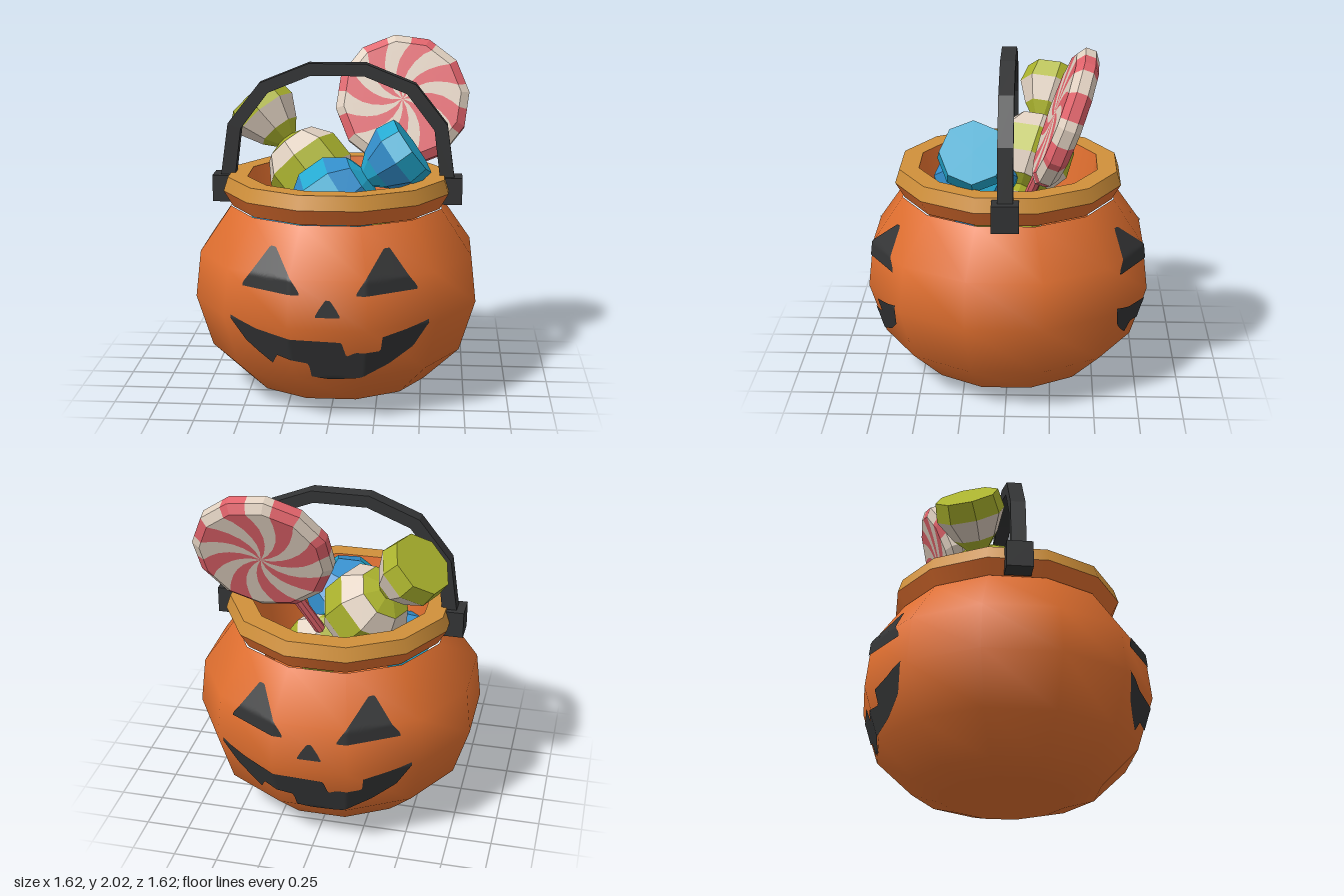
import * as THREE from 'three';

const deg = Math.PI / 180;
const C15 = Math.cos(15 * deg);
const mat = (name, color) => Object.assign(new THREE.MeshStandardMaterial({ color }), { name });

// faceted copy of a geometry
function flat(geo) {
  const g = geo.index ? geo.toNonIndexed() : geo;
  g.computeVertexNormals();
  return g;
}
function add(parent, name, geo, material) {
  const m = new THREE.Mesh(geo, material);
  m.name = name;
  parent.add(m);
  return m;
}
const lathe = (pts, sides, phase = 0, k = 1) =>
  new THREE.LatheGeometry(pts.map(([r, y]) => new THREE.Vector2(r * k, y)), sides, phase);

// height of a polyline at x
function along(line, x) {
  for (let i = 1; i < line.length; i++) {
    const [x0, y0] = line[i - 1], [x1, y1] = line[i];
    if (x <= x1) return y0 + (y1 - y0) * Math.max(0, (x - x0) / (x1 - x0));
  }
  return line[line.length - 1][1];
}

// bucket side: distance from axis to a flat, height
const BODY = [[0, 0], [0.345, 0], [0.52, 0.06], [0.72, 0.26], [0.81, 0.56], [0.78, 0.83], [0.605, 1.09]];
function bodyZ(x, y) {
  const a = along(BODY.slice(1).map(([r, h]) => [h, r]), y);
  return Math.min(a, (a - Math.abs(x) * 0.5) / Math.cos(30 * deg));
}

// thin painted patch between two outlines, laid onto the bucket
function patch(upper, lower) {
  const x0 = upper[0][0], x1 = upper[upper.length - 1][0];
  const g = new THREE.PlaneGeometry(1, 1, Math.ceil((x1 - x0) * 100), 16);
  const p = g.attributes.position;
  for (let i = 0; i < p.count; i++) {
    const x = x0 + (p.getX(i) + 0.5) * (x1 - x0);
    const y = THREE.MathUtils.lerp(along(lower, x), along(upper, x), p.getY(i) + 0.5);
    p.setXYZ(i, x, y, bodyZ(x, y) + 0.006);
  }
  g.computeVertexNormals();
  return g;
}

// wrapped sweet: banded ball with a flared wrapper at both ends
function sweet(name, main, stripe, center, axis) {
  const g = new THREE.Group();
  g.name = name;
  const R = 0.255, lats = [180, 140, 109, 71, 40, 0];
  for (let i = 0; i < 5; i++) {
    const pts = [lats[i], lats[i + 1]].map(a => [Math.abs(R * Math.sin(a * deg)), R * Math.cos(a * deg)]);
    add(g, 'sweetBand', flat(lathe(pts, 8)), i % 2 ? stripe : main);
  }
  const flare = [[0.06, 0.22], [0.13, 0.3], [0.2, 0.43], [0.185, 0.54], [0, 0.54]];
  for (const end of [0, Math.PI]) {
    const w = new THREE.Group();
    w.name = 'wrapperEnd';
    w.rotation.x = end;
    for (let i = 0; i < 4; i++)
      add(w, 'wrapperBand', flat(lathe([flare[i], flare[i + 1]], 8)), i === 1 ? stripe : main);
    g.add(w);
  }
  g.position.set(...center);
  g.quaternion.setFromUnitVectors(new THREE.Vector3(0, 1, 0), new THREE.Vector3(...axis).normalize());
  return g;
}

// one colour of the twelve-sided swirl disc
function swirl(odd) {
  const face = [0, 0.06, 0.12, 0.18, 0.24, 0.3, 0.35].map(r => [r, 0.065, 40 * (1 - r / 0.35)]);
  const rings = [...face, [0.4, 0.03, 0], [0.4, -0.03, 0],
    ...face.slice().reverse().map(([r, z, t]) => [r, -z, t])];
  const point = (i, j) => {
    const [r, z, twist] = rings[i];
    const a = 15 + j * 7.5 + twist;
    const k = ((a - 7.5) % 30 + 30) % 30 - 15;
    const rad = r * C15 / Math.cos(k * deg);
    return [rad * Math.cos(a * deg), rad * Math.sin(a * deg), z];
  };
  const v = [];
  for (let j = 0; j < 48; j++) {
    if (Math.floor(j / 3) % 2 !== odd) continue;
    for (let i = 0; i < rings.length - 1; i++) {
      const a = point(i, j), b = point(i + 1, j), c = point(i + 1, j + 1), d = point(i, j + 1);
      if (rings[i + 1][0] > 0) v.push(...a, ...b, ...c);
      if (rings[i][0] > 0) v.push(...a, ...c, ...d);
    }
  }
  const g = new THREE.BufferGeometry();
  g.setAttribute('position', new THREE.Float32BufferAttribute(v, 3));
  return flat(g);
}

export function createModel() {
  const root = new THREE.Group();
  root.name = 'treatBucket';
  const orange = mat('orange', 0xe06f2f), gold = mat('gold', 0xd0903a), charcoal = mat('charcoal', 0x333435);
  const lime = mat('lime', 0xacb42e), cream = mat('cream', 0xe0d0c0);
  const cyan = mat('cyan', 0x23a9d0), blue = mat('blue', 0x338ecb), red = mat('red', 0xe0626a);

  // bucket, rim and hollow inside
  const ring = (name, pts, m) => add(root, name, lathe(pts, 12, 15 * deg, 1 / C15), m);
  ring('bucketBody', BODY, orange);
  ring('rimUnderside', [[0.595, 1.09], [0.645, 1.18]], orange);
  ring('rimSide', [[0.645, 1.18], [0.62, 1.26]], gold);
  ring('rimTop', [[0.62, 1.26], [0.51, 1.26]], gold);
  ring('innerWall', [[0.51, 1.26], [0.42, 0.75]], orange);
  ring('innerFloor', [[0.42, 0.75], [0, 0.75]], orange);

  // carved face, front and back
  const eyeTop = [[0.155, 0.76], [0.168, 0.785], [0.295, 0.975], [0.325, 0.975], [0.47, 0.785], [0.48, 0.765]];
  const eyeLow = [[0.155, 0.75], [0.48, 0.755]];
  const flip = line => line.map(([x, y]) => [-x, y]).reverse();
  const noseTop = [[-0.066, 0.64], [-0.05, 0.67], [-0.012, 0.725], [0.012, 0.725], [0.05, 0.67], [0.066, 0.64]];
  const mouthTop = [[-0.55, 0.58], [-0.4, 0.527], [-0.2, 0.5], [0.075, 0.487], [0.1, 0.4], [0.15, 0.425],
    [0.285, 0.425], [0.295, 0.51], [0.42, 0.54], [0.545, 0.58]];
  const mouthLow = [[-0.55, 0.56], [-0.465, 0.44], [-0.39, 0.38], [-0.31, 0.325], [-0.285, 0.385], [-0.105, 0.35],
    [-0.095, 0.27], [0.01, 0.25], [0.17, 0.265], [0.33, 0.335], [0.46, 0.425], [0.545, 0.56]];
  for (const turn of [0, Math.PI]) {
    const face = new THREE.Group();
    face.name = turn ? 'backFace' : 'frontFace';
    face.rotation.y = turn;
    add(face, 'leftEye', patch(eyeTop, eyeLow), charcoal);
    add(face, 'rightEye', patch(flip(eyeTop), flip(eyeLow)), charcoal);
    add(face, 'nose', patch(noseTop, [[-0.066, 0.63], [0.066, 0.63]]), charcoal);
    add(face, 'mouth', patch(mouthTop, mouthLow), charcoal);
    root.add(face);
  }

  // arched handle and its end blocks
  const outer = [[0.685, 1.2], [0.635, 1.55], [0.45, 1.785], [0.165, 1.9]];
  const inner = [[0.6, 1.2], [0.56, 1.52], [0.4, 1.73], [0.153, 1.83]];
  const outline = [...outer, ...flip(outer), ...flip(inner).reverse(), ...inner.slice().reverse()];
  const arch = new THREE.Shape(outline.map(([x, y]) => new THREE.Vector2(x, y)));
  const bar = new THREE.ExtrudeGeometry(arch, { depth: 0.086, bevelEnabled: false });
  add(root, 'handle', bar.translate(0, 0, -0.043), charcoal);
  for (const s of [-1, 1])
    add(root, 'handleBlock', new THREE.BoxGeometry(0.115, 0.155, 0.15), charcoal).position.set(s * 0.667, 1.172, 0);

  // wrapped sweets
  root.add(sweet('limeSweet', lime, cream, [-0.17, 1.25, -0.13], [-0.62, 0.7, -0.27]));
  root.add(sweet('blueSweet', cyan, blue, [0, 1.14, 0.19], [0.8, 0.58, -0.01]));

  // swirl lollipop leaning back
  const pop = new THREE.Group();
  pop.name = 'lollipop';
  add(pop, 'redSwirl', swirl(0), red);
  add(pop, 'creamSwirl', swirl(1), cream);
  const stick = add(pop, 'stick', flat(new THREE.CylinderGeometry(0.032, 0.032, 0.6, 8)), red);
  stick.rotation.z = -0.42;
  stick.position.set(-Math.sin(0.42) * 0.65, -Math.cos(0.42) * 0.65, 0);
  pop.position.set(0.367, 1.635, -0.32);
  pop.rotation.x = -20 * deg;
  root.add(pop);
  return root;
}
